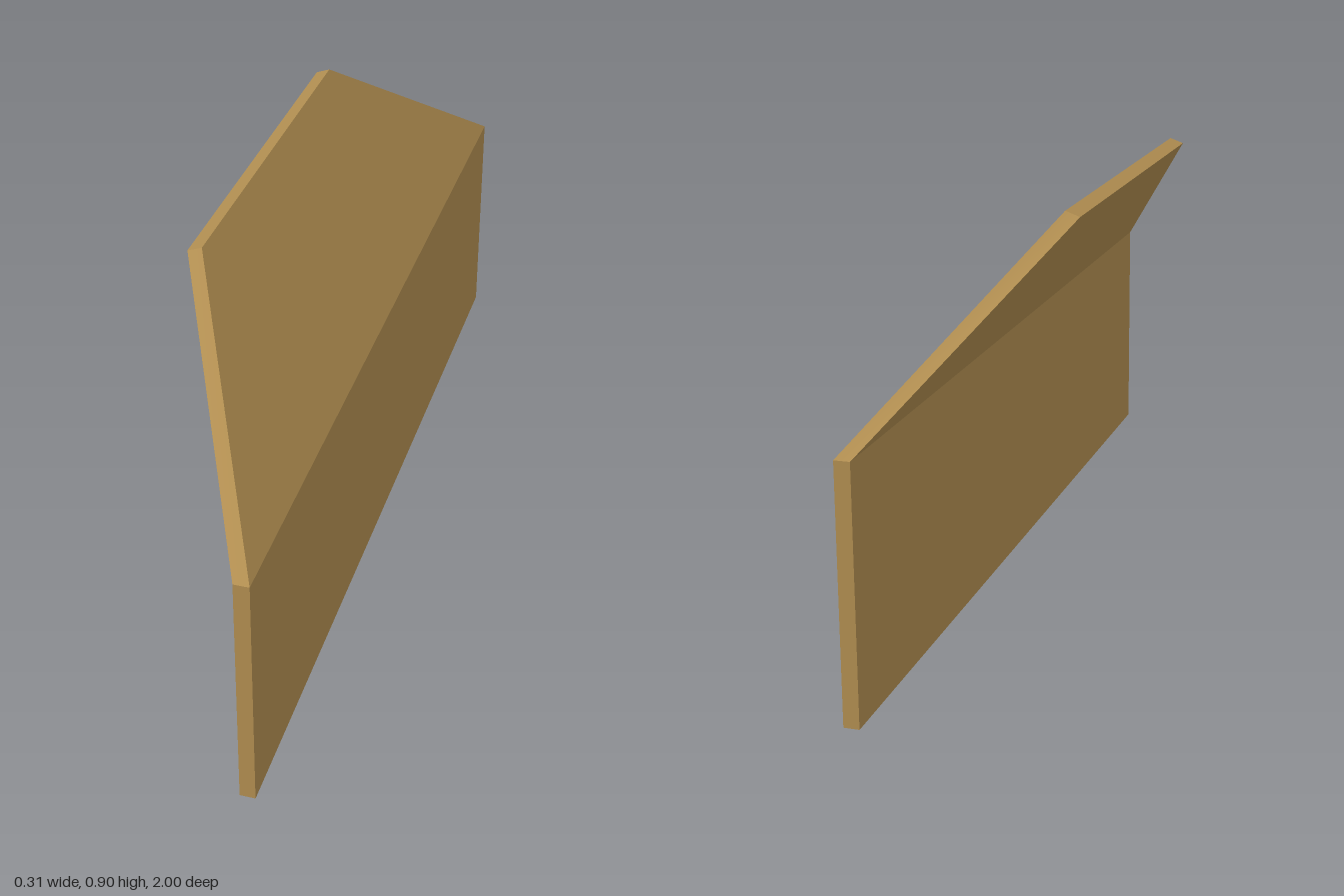
import * as THREE from 'three';

const INNER = 0.12, OUTER = 0.153, FOLD = 0.536;

export function createModel() {
  const group = new THREE.Group();
  group.name = 'foldedPanel';
  const wood = new THREE.MeshStandardMaterial({ color: 0xb08d50 });
  wood.name = 'tan wood';

  // Upright lower board
  const lower = new THREE.Mesh(new THREE.BoxGeometry(OUTER - INNER, FOLD, 2), wood);
  lower.name = 'uprightBoard';
  lower.position.set((INNER + OUTER) / 2, FOLD / 2, 0);

  // Leaning upper board: a box whose corners move to a tapered, tilted slab
  const geometry = new THREE.BoxGeometry(1, 1, 1);
  const p = geometry.attributes.position;
  for (let i = 0; i < p.count; i++) {
    const outer = p.getX(i) > 0, top = p.getY(i) > 0, side = Math.sign(p.getZ(i));
    if (top) p.setXYZ(i, outer ? -0.122 : -0.153, outer ? 0.902 : 0.891, side * 0.45);
    else p.setXYZ(i, outer ? OUTER : INNER, FOLD, side);
  }
  geometry.computeVertexNormals();
  const upper = new THREE.Mesh(geometry, wood);
  upper.name = 'leaningBoard';

  group.add(lower, upper);
  return group;
}
